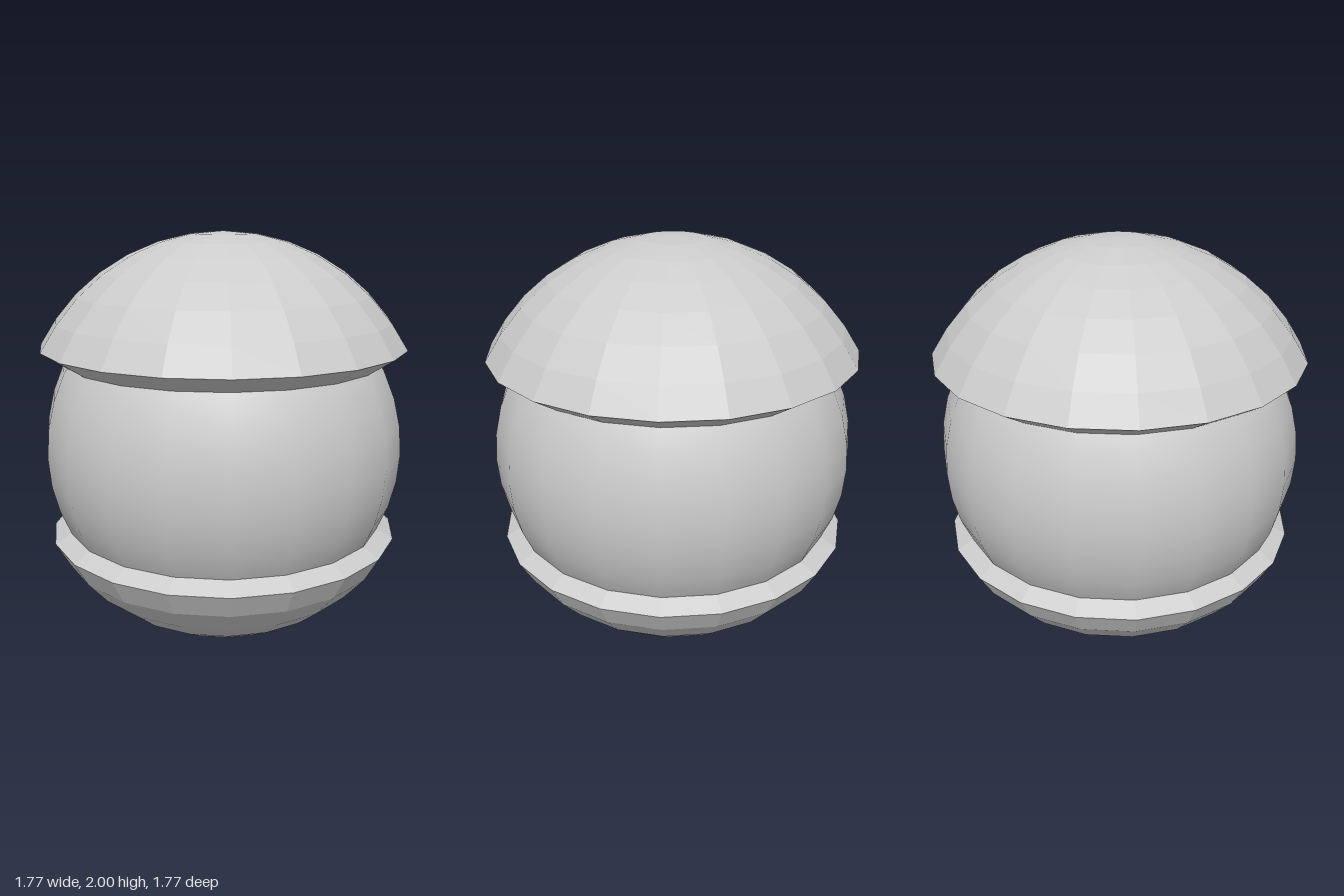
import * as THREE from 'three';

const SIDES = 20;
const STEP = Math.PI / SIDES;

// Faceted dome around the core: 9-degree rings, a rim and a lip sloping inwards.
// dir is 1 for the upper dome and -1 for the lower one.
function makeDome(name, radius, centreY, dir, rim, lip) {
  const points = [];
  for (let i = 0; i <= 6; i++) {
    const a = i * STEP;
    points.push(new THREE.Vector2(radius * Math.sin(a), centreY + dir * radius * Math.cos(a)));
  }
  points.push(new THREE.Vector2(...rim), new THREE.Vector2(...lip));
  // Lathe profiles run upwards so that faces point out
  if (dir > 0) points.reverse();
  const material = new THREE.MeshStandardMaterial({
    color: 0xcccccc, flatShading: true, side: THREE.DoubleSide,
  });
  const mesh = new THREE.Mesh(new THREE.LatheGeometry(points, SIDES), material);
  mesh.name = name;
  return mesh;
}

export function createModel() {
  const model = new THREE.Group();
  model.name = 'shelledBall';

  // Smooth inner ball
  const core = new THREE.Mesh(
    new THREE.SphereGeometry(0.88, SIDES, SIDES),
    new THREE.MeshStandardMaterial({ color: 0xcccccc }),
  );
  core.name = 'innerBall';
  core.position.y = 0.965;
  model.add(core);

  // Upper and lower shells; the lips end inside the ball
  model.add(makeDome('upperShell', 1, 1, 1, [0.887, 1.467], [0.7, 1.345]));
  model.add(makeDome('lowerShell', 0.99, 0.99, -1, [0.868, 0.53], [0.7, 0.627]));
  return model;
}
